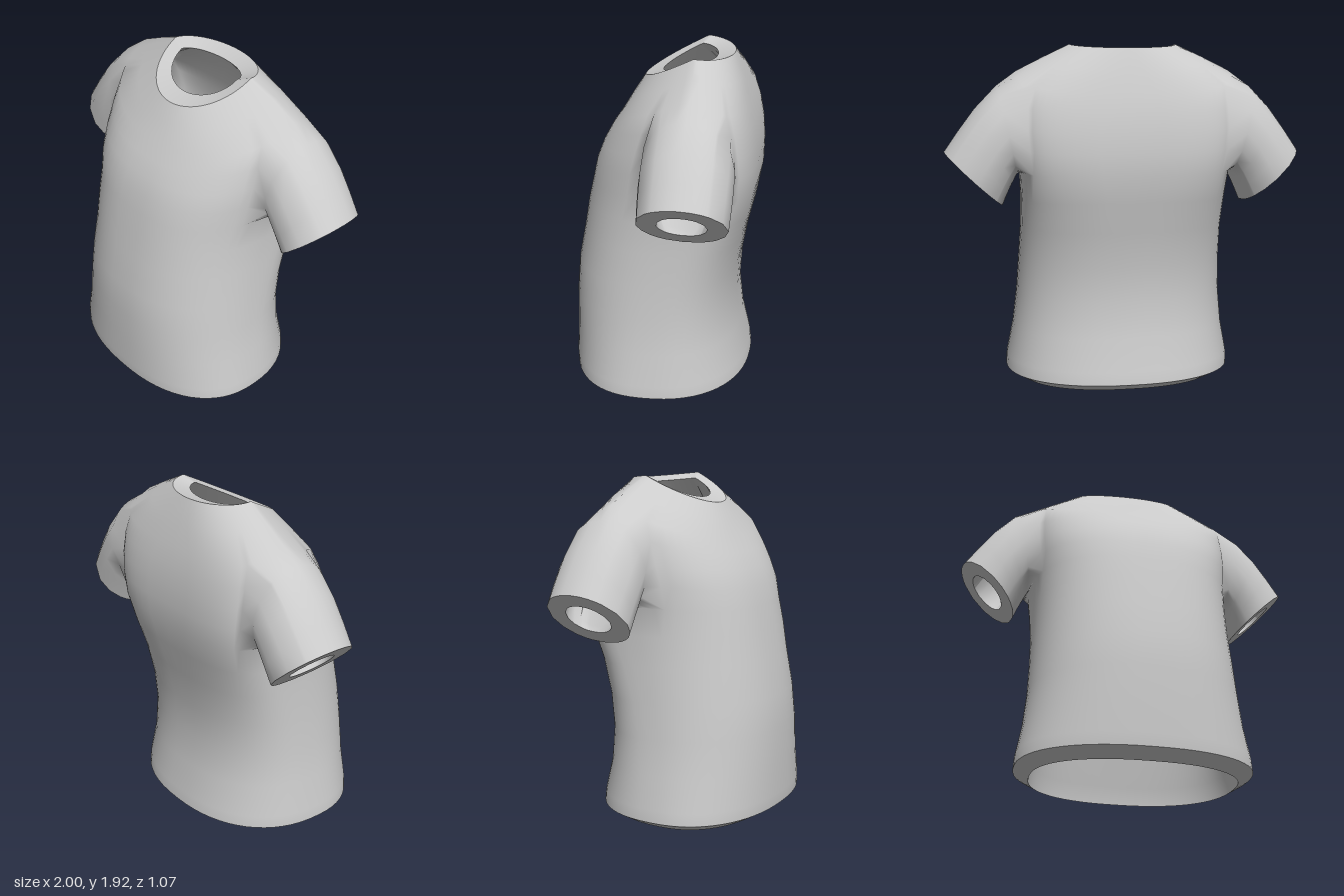
import * as THREE from 'three';

const N = 64;                          // columns around the body
const BACK = -6, FRONT = 4;            // armhole columns, counted from the side seam
const LOW = 7, HIGH = 11;              // armhole rows

// Body rings: half width, y at side / front / back, z at side / front / back,
// roundness of front / back
const ROWS = [
  [0.66, 0.05, 0.05, 0.05, 0.05, 0.535, -0.50, 2.3, 2.3],
  [0.655, 0.12, 0.12, 0.12, 0.04, 0.54, -0.49, 2.3, 2.3],
  [0.62, 0.30, 0.30, 0.30, 0.02, 0.535, -0.445, 2.3, 2.3],
  [0.597, 0.50, 0.50, 0.50, 0.00, 0.535, -0.42, 2.3, 2.4],
  [0.585, 0.70, 0.70, 0.70, -0.04, 0.52, -0.43, 2.3, 2.5],
  [0.575, 0.90, 0.90, 0.90, -0.10, 0.48, -0.465, 2.4, 2.7],
  [0.575, 1.07, 1.07, 1.07, -0.16, 0.45, -0.505, 2.5, 3.1],
  [0.585, 1.24, 1.20, 1.22, -0.20, 0.42, -0.53, 2.5, 3.6],
  [0.60, 1.38, 1.31, 1.34, -0.21, 0.395, -0.53, 2.5, 3.8],
  [0.61, 1.51, 1.41, 1.45, -0.21, 0.355, -0.52, 2.4, 3.8],
  [0.61, 1.65, 1.50, 1.56, -0.21, 0.305, -0.50, 2.3, 3.6],
  [0.60, 1.78, 1.58, 1.66, -0.21, 0.25, -0.47, 2.2, 3.2],
  [0.45, 1.855, 1.68, 1.79, -0.20, 0.19, -0.425, 2.1, 2.5],
  [0.30, 1.925, 1.77, 1.905, -0.18, 0.13, -0.37, 2, 2],
];

// Sleeve rings: top x, y, bottom x, y, half depth
const SLEEVE = [
  [0.71, 1.70, 0.605, 1.205, 0.245],
  [0.83, 1.575, 0.63, 1.155, 0.248],
  [0.92, 1.455, 0.655, 1.10, 0.245],
  [1.0, 1.34, 0.68, 1.04, 0.24],
];
const SLEEVE_Z = -0.21;

function bodyPoint([w, ys, yf, yb, zs, zf, zb, nf, nb], i) {
  const a = (i / N) * Math.PI * 2, c = Math.cos(a), s = Math.sin(a);
  const [y, z, n] = s > 0 ? [yf, zf, nf] : [yb, zb, nb];
  const x = w * Math.sign(c) * Math.abs(c) ** (2 / n);
  const t = Math.abs(s) ** (2 / n);
  return new THREE.Vector3(x, ys + (y - ys) * t, zs + (z - zs) * t);
}

// Closed strip of quads between two loops of vertex indices
function strip(index, A, B, flip = false, skip = () => false) {
  for (let k = 0; k < A.length; k++) {
    if (skip(k)) continue;
    const m = (k + 1) % A.length;
    const q = [A[k], B[k], A[m], A[m], B[k], B[m]];
    index.push(...(flip ? q.reverse() : q));
  }
}

function makeGeometry(points, index) {
  const g = new THREE.BufferGeometry().setFromPoints(points);
  g.setIndex(index);
  g.computeVertexNormals();
  return g;
}

export function createModel() {
  const group = new THREE.Group();
  const material = new THREE.MeshStandardMaterial({ color: 0xcccccc });
  const add = (name, geometry) => {
    const mesh = new THREE.Mesh(geometry, material);
    mesh.name = name;
    group.add(mesh);
  };

  const points = [], index = [];
  const addLoop = (pts) => pts.map((p) => points.push(p) - 1);

  // Body, leaving out the two armholes
  const rings = ROWS.map((row) => addLoop(Array.from({ length: N }, (_, i) => bodyPoint(row, i))));
  const inArmhole = (i) =>
    [i > N / 2 ? i - N : i, N / 2 - 1 - i].some((c) => c >= BACK && c < FRONT);
  for (let j = 0; j < rings.length - 1; j++) {
    strip(index, rings[j], rings[j + 1], false, (i) => j >= LOW && j < HIGH && inArmhole(i));
  }

  // Sleeves grow out of the armhole edges
  const cuffs = [1, -1].map((side) => {
    const at = (j, c) => rings[j][((side > 0 ? c : N / 2 - c) + N) % N];
    const hole = [];
    for (let c = BACK; c < FRONT; c++) hole.push(at(LOW, c));
    for (let j = LOW; j < HIGH; j++) hole.push(at(j, FRONT));
    for (let c = FRONT; c > BACK; c--) hole.push(at(HIGH, c));
    for (let j = HIGH; j > LOW; j--) hole.push(at(j, BACK));
    const angles = hole.map((v) =>
      Math.atan2((points[v].y - 1.48) / 0.27, (points[v].z - SLEEVE_Z) / 0.25));
    let last = hole;
    for (const [tx, ty, bx, by, depth] of SLEEVE) {
      const ring = addLoop(angles.map((a) => {
        const s = Math.sin(a) / 2;
        return new THREE.Vector3(
          side * ((tx + bx) / 2 + (tx - bx) * s),
          (ty + by) / 2 + (ty - by) * s,
          SLEEVE_Z + depth * Math.cos(a));
      }));
      strip(index, last, ring, side < 0);
      last = ring;
    }
    return last;
  });
  const outer = makeGeometry(points, index);
  add('shirtOutside', outer);

  // Lining: the same surface moved inward, with its own opening edges
  const normals = outer.attributes.normal;
  const inner = points.map((p, i) =>
    p.clone().addScaledVector(new THREE.Vector3().fromBufferAttribute(normals, i), -0.085));
  const hem = rings[0], neck = rings[rings.length - 1];
  for (const v of hem) inner[v].y = 0;
  for (const v of neck) {
    const p = points[v];
    inner[v].set(p.x * 0.74, 1.8 + (p.y - 1.77) * 0.6, -0.12 + (p.z + 0.12) * 0.6);
  }
  cuffs.forEach((cuff, k) => {
    const centre = new THREE.Vector3(k ? -0.84 : 0.84, 1.19, SLEEVE_Z);
    for (const v of cuff) inner[v].copy(points[v]).lerp(centre, 0.45);
  });
  add('lining', makeGeometry(inner, index.slice().reverse()));

  // Thick edges joining outside and lining
  const rim = (name, loop, flip) => {
    const n = loop.length, idx = [];
    const pts = [...loop.map((v) => points[v]), ...loop.map((v) => inner[v])];
    const A = loop.map((_, k) => k);
    strip(idx, A, A.map((k) => k + n), flip);
    add(name, makeGeometry(pts, idx));
  };
  rim('hemEdge', hem, true);
  rim('neckEdge', neck, false);
  rim('leftCuffEdge', cuffs[0], false);
  rim('rightCuffEdge', cuffs[1], true);

  return group;
}
